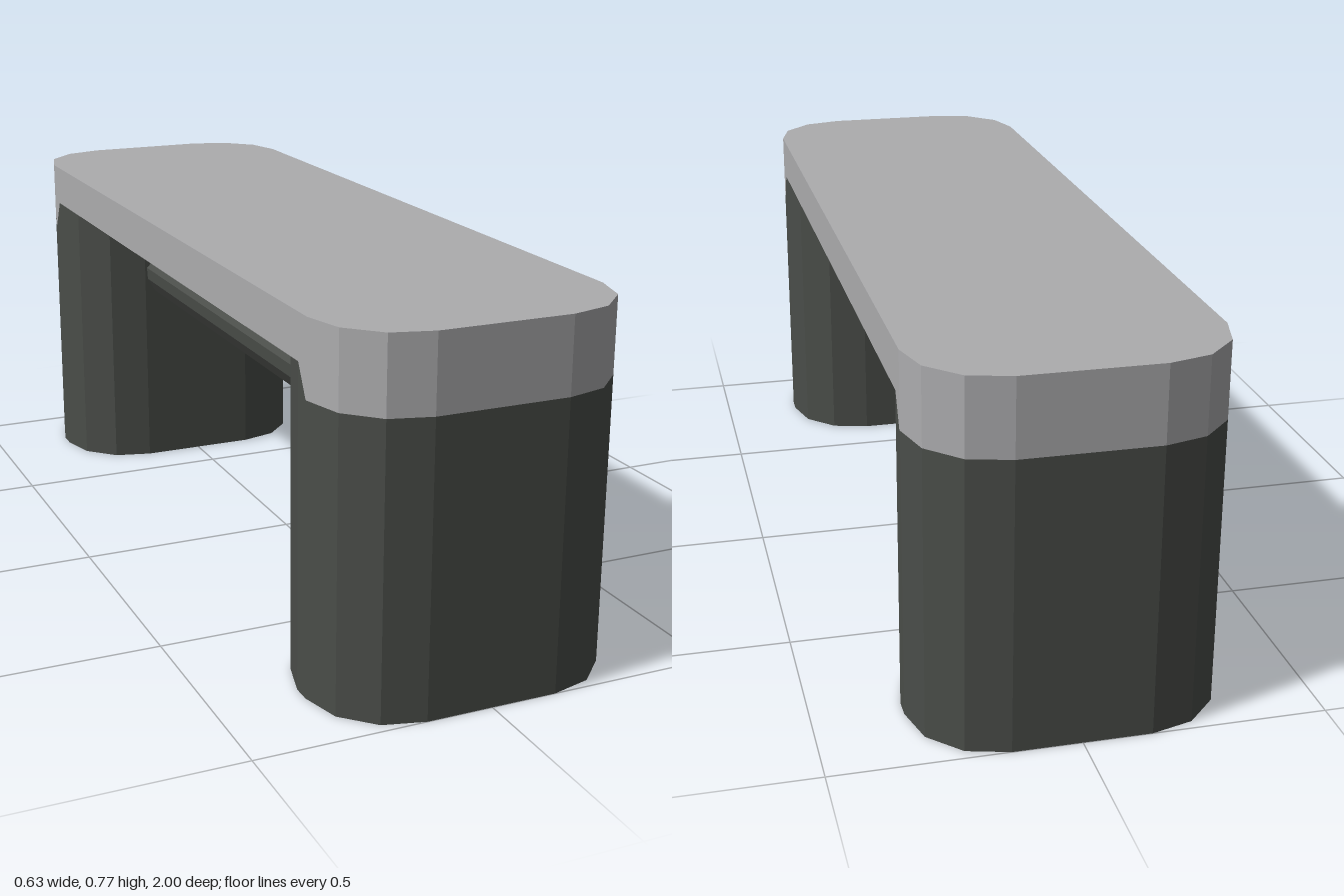
import * as THREE from 'three';

const HALF_W = 0.316, HALF_L = 1, R = 0.175, INNER = 0.61;
const light = new THREE.MeshStandardMaterial({ color: 0xacacae, flatShading: true });
const dark = new THREE.MeshStandardMaterial({ color: 0x4a4d49, flatShading: true });

// Three-sided rounded corner, as [x, z] points
function corner(sx, sz, zEdge) {
  const pts = [];
  for (let i = 0; i <= 3; i++) {
    const a = (i * Math.PI) / 6;
    pts.push([sx * (HALF_W - R + R * Math.cos(a)), zEdge + sz * R * (Math.sin(a) - 1)]);
  }
  return pts;
}

// Both corners of one rounded end, running from +x to -x
function roundedEnd(sz, zEdge) {
  return [...corner(1, sz, zEdge), ...corner(-1, sz, zEdge).reverse()];
}

// Upright prism over an [x, z] outline
function prism(name, outline, y0, y1, material) {
  const shape = new THREE.Shape(outline.map(([x, z]) => new THREE.Vector2(x, -z)));
  const geo = new THREE.ExtrudeGeometry(shape, { depth: y1 - y0, bevelEnabled: false });
  geo.rotateX(-Math.PI / 2).translate(0, y0, 0);
  const mesh = new THREE.Mesh(geo, material);
  mesh.name = name;
  return mesh;
}

// Symmetric [x, y] section swept along z
function bar(name, half, halfLength, material) {
  const pts = [...half, ...half.map(([x, y]) => [-x, y]).reverse()];
  const shape = new THREE.Shape(pts.map(([x, y]) => new THREE.Vector2(x, y)));
  const geo = new THREE.ExtrudeGeometry(shape, { depth: 2 * halfLength, bevelEnabled: false });
  geo.translate(0, 0, -halfLength);
  const mesh = new THREE.Mesh(geo, material);
  mesh.name = name;
  return mesh;
}

// Lean the straight seam of a prism inwards towards its top
function slantSeam(mesh, seamZ, topZ, yTop) {
  const p = mesh.geometry.attributes.position;
  for (let i = 0; i < p.count; i++) {
    if (Math.abs(p.getZ(i) - seamZ) < 1e-4 && p.getY(i) > yTop - 1e-4) p.setZ(i, topZ);
  }
  mesh.geometry.computeVertexNormals();
  return mesh;
}

export function createModel() {
  const model = new THREE.Group();
  model.name = 'bench';

  // Seat slab with rounded corners
  const slabOutline = [...roundedEnd(1, HALF_L), ...roundedEnd(-1, -HALF_L).reverse()];
  model.add(prism('seatSlab', slabOutline, 0.675, 0.77, light));

  // Shallow curved underside
  model.add(bar('underside', [[HALF_W, 0.675], [0.293, 0.661], [0.229, 0.645], [0.141, 0.635]], 0.785, dark));

  // Stretcher beam hung from a narrow spine
  model.add(bar('stretcher', [[0.115, 0.54], [0.136, 0.52], [0.134, 0.49], [0.115, 0.457], [0.075, 0.432]], 0.65, dark));
  model.add(bar('spine', [[0.06, 0.64], [0.06, 0.535]], 0.65, dark));

  // Two ends, each with a leg and a lip of the seat wrapping over it
  const seam = 0.82, seamTop = 0.786;
  for (const side of [0, 1]) {
    const end = new THREE.Group();
    end.name = side ? 'backEnd' : 'frontEnd';
    end.rotation.y = side * Math.PI;

    const outer = roundedEnd(1, HALF_L);
    const inner = roundedEnd(-1, INNER).reverse();
    end.add(prism('leg', [...outer, ...inner], 0, 0.61, dark));

    const lip = [[HALF_W, seam], ...outer, [-HALF_W, seam]];
    end.add(slantSeam(prism('seatLip', lip, 0.61, 0.675, light), seam, seamTop, 0.675));

    const legTop = [[HALF_W, seam], [-HALF_W, seam], ...inner];
    end.add(slantSeam(prism('legTop', legTop, 0.61, 0.675, dark), seam, seamTop, 0.675));
    model.add(end);
  }
  return model;
}
